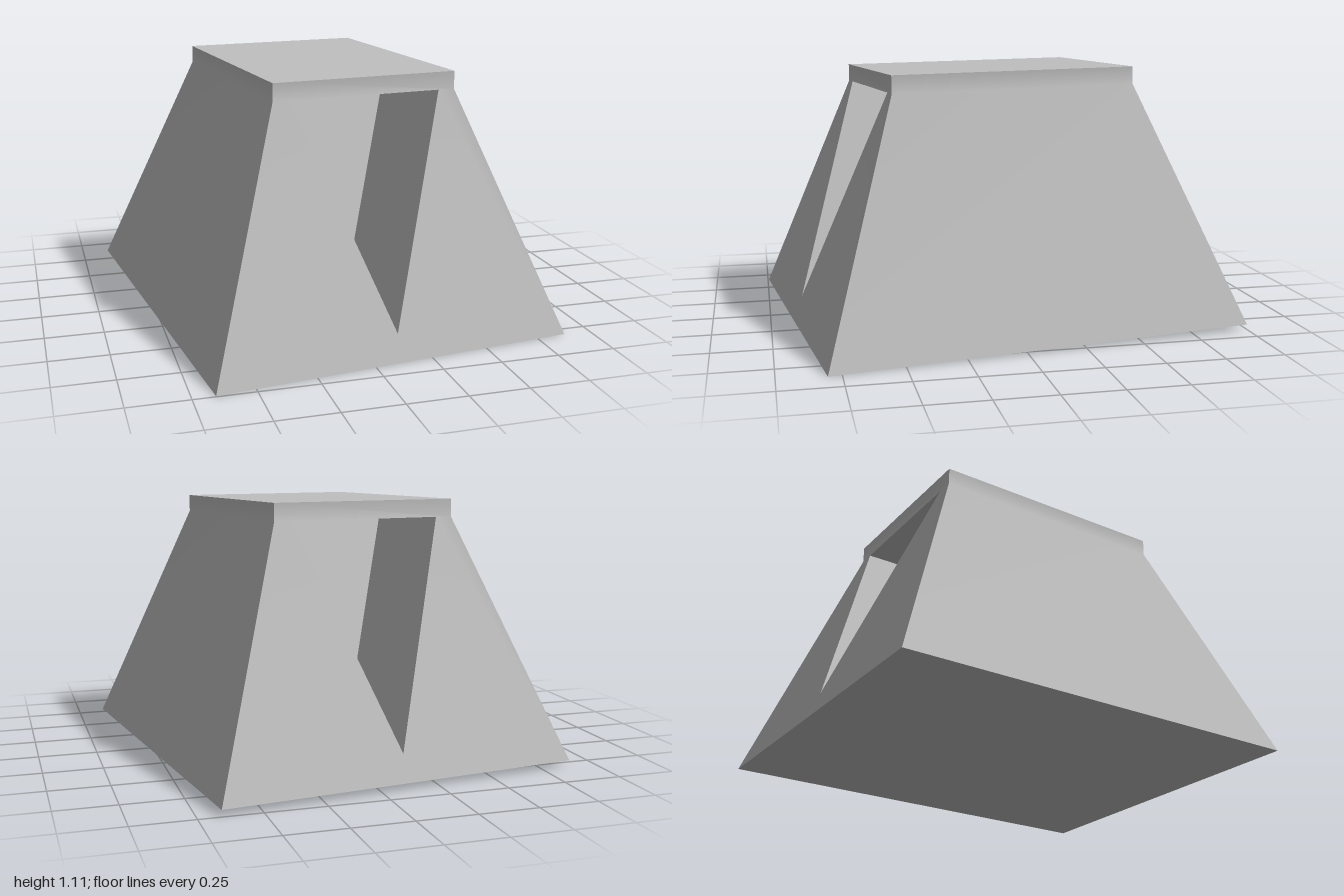
import * as THREE from 'three';

// Sizes before the body is turned: half widths (x) and half lengths (z)
const BASE = { x: 0.776, y: 0, z: 0.907 };
const NECK = { x: 0.406, y: 1.02, z: 0.537 };
const TOP = { x: 0.406, y: 1.095, z: 0.537 };
const SLOT_HALF = 0.333, SLOT_TIP = 0.11, SLOT_DEPTH = 0.51;

const grey = new THREE.MeshStandardMaterial({ color: 0xbfbfbf });
grey.name = 'grey';

// Mesh from corner points and polygons (fans); points shared within one panel blend smoothly
function panel(name, points, polygons) {
  const geometry = new THREE.BufferGeometry();
  geometry.setAttribute('position', new THREE.Float32BufferAttribute(points.flat(), 3));
  const index = [];
  for (const p of polygons) {
    for (let i = 1; i < p.length - 1; i++) index.push(p[0], p[i], p[i + 1]);
  }
  geometry.setIndex(index);
  geometry.computeVertexNormals();
  const mesh = new THREE.Mesh(geometry, grey);
  mesh.name = name;
  return mesh;
}

// Sloping end with a V-shaped recess, built facing +z
function slottedEnd(name) {
  const end = new THREE.Group();
  end.name = name;
  const tipZ = BASE.z + (NECK.z - BASE.z) * SLOT_TIP / NECK.y;
  const left = [-SLOT_HALF, NECK.y, NECK.z];
  const right = [SLOT_HALF, NECK.y, NECK.z];
  const tip = [0, SLOT_TIP, tipZ];
  const [leftIn, rightIn, tipIn] = [left, right, tip].map(([x, y, z]) => [x, y, z - SLOT_DEPTH]);

  end.add(panel('endFace', [
    [-BASE.x, BASE.y, BASE.z], [BASE.x, BASE.y, BASE.z], tip,
    [-NECK.x, NECK.y, NECK.z], left, right, [NECK.x, NECK.y, NECK.z],
    [TOP.x, TOP.y, TOP.z], [-TOP.x, TOP.y, TOP.z],
  ], [[0, 1, 2], [0, 2, 4, 3], [1, 6, 5, 2], [8, 3, 4, 5, 6, 7]]));
  end.add(panel('slotLeftWall', [left, tip, tipIn, leftIn], [[0, 1, 2, 3]]));
  end.add(panel('slotRightWall', [tip, right, rightIn, tipIn], [[0, 1, 2, 3]]));
  end.add(panel('slotCeiling', [left, leftIn, rightIn, right], [[0, 1, 2, 3]]));
  end.add(panel('slotBackWall', [leftIn, tipIn, rightIn], [[0, 1, 2]]));
  return end;
}

// Plain sloping side, built facing +x
function plainSide(name) {
  const points = [BASE, NECK, TOP].flatMap((r) => [[r.x, r.y, r.z], [r.x, r.y, -r.z]]);
  return panel(name, points, [[0, 1, 3, 2], [2, 3, 5, 4]]);
}

// Flat rectangle closing the top or the base
function cover(name, ring, facing) {
  const geometry = new THREE.PlaneGeometry(ring.x * 2, ring.z * 2);
  geometry.rotateX(-facing * Math.PI / 2);
  const mesh = new THREE.Mesh(geometry, grey);
  mesh.position.y = ring.y;
  mesh.name = name;
  return mesh;
}

export function createModel() {
  const body = new THREE.Group();
  body.name = 'taperedBlock';

  const front = slottedEnd('frontEnd');
  const back = slottedEnd('backEnd');
  back.rotation.y = Math.PI;
  const leftSide = plainSide('leftSide');
  const rightSide = plainSide('rightSide');
  rightSide.rotation.y = Math.PI;
  body.add(front, back, leftSide, rightSide, cover('topPlate', TOP, 1), cover('basePlate', BASE, -1));

  // The block stands slightly turned and tipped forward
  body.rotation.set(0.0138, 0.123, 0, 'YXZ');
  body.position.y = 0.0125;

  const model = new THREE.Group();
  model.name = 'model';
  model.add(body);
  return model;
}
